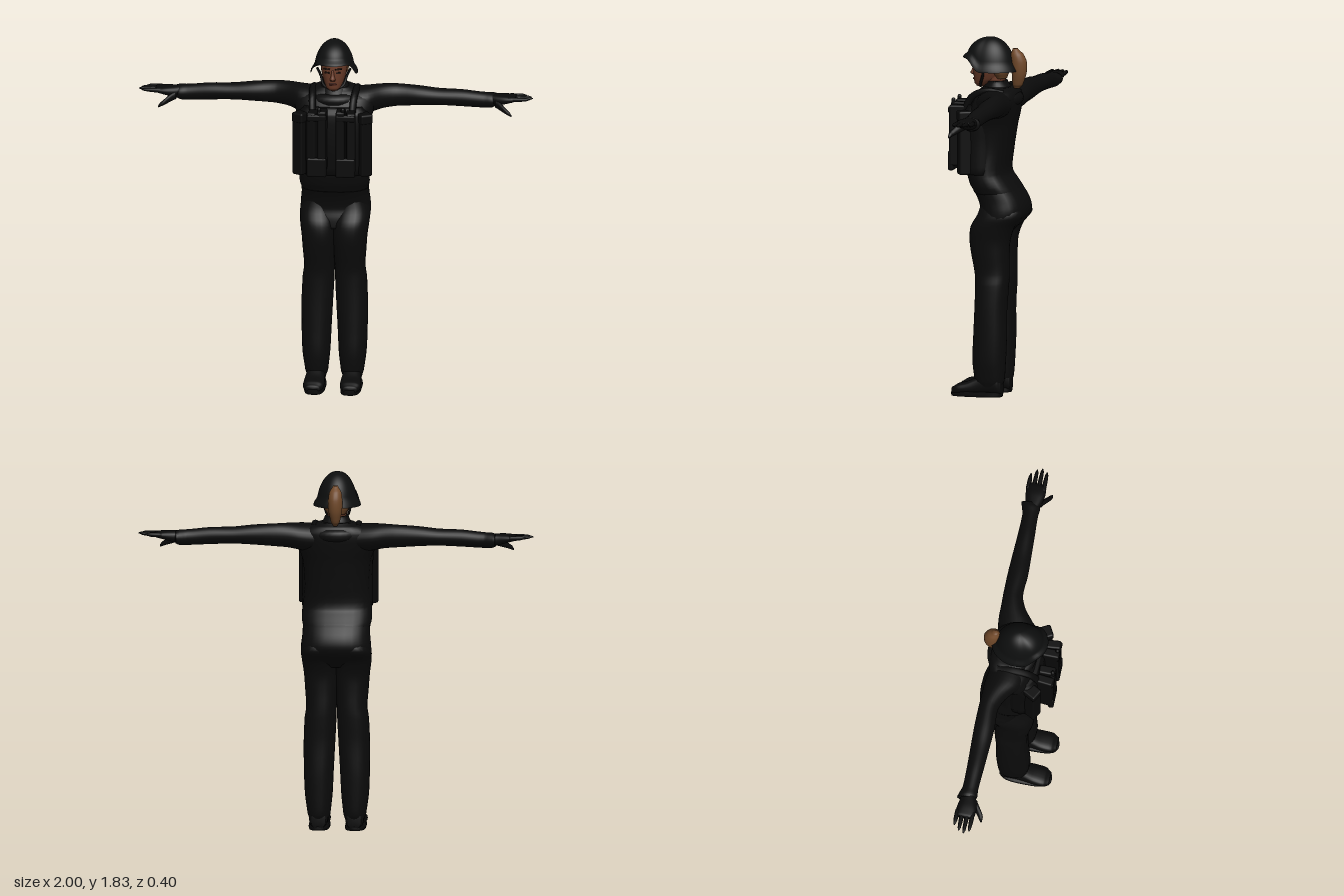
import * as THREE from 'three';
import { RoundedBoxGeometry } from 'three/addons/geometries/RoundedBoxGeometry.js';

const mat = (name, color) => new THREE.MeshStandardMaterial({ name, color, side: THREE.DoubleSide });

// Smooth skin through cross-sections [t, uMin, uMax, vMin, vMax] along an axis.
// Axis y reads (x, z), axis x reads (y, z), axis z reads (x, y). power > 2 gives squarer sections.
function loft(axis, secs, power = 2, seg = 28, sub = 4) {
  const rows = [];
  for (let i = 0; i < secs.length - 1; i++) {
    const [p0, p1, p2, p3] = [-1, 0, 1, 2].map(k => secs[Math.min(Math.max(i + k, 0), secs.length - 1)]);
    for (let k = 0; k < sub; k++) {
      const s = k / sub;
      rows.push(p1.map((b, j) => j === 0 ? b + (p2[0] - b) * s : 0.5 * (2 * b + (p2[j] - p0[j]) * s
        + (2 * p0[j] - 5 * b + 4 * p2[j] - p3[j]) * s * s + (3 * b - p0[j] - 3 * p2[j] + p3[j]) * s ** 3)));
    }
  }
  rows.push(secs[secs.length - 1]);
  const pos = [], idx = [];
  const put = (t, a, b) => pos.push(...(axis === 'y' ? [a, t, b] : axis === 'x' ? [t, a, b] : [a, b, t]));
  const soft = c => Math.sign(c) * Math.abs(c) ** (2 / power);
  for (const [t, a0, a1, b0, b1] of rows) {
    for (let j = 0; j < seg; j++) {
      const w = (j / seg) * Math.PI * 2;
      let c = soft(Math.cos(w)), d = soft(Math.sin(w));
      if (axis === 'y') [c, d] = [d, c];
      put(t, (a0 + a1) / 2 + c * (a1 - a0) / 2, (b0 + b1) / 2 + d * (b1 - b0) / 2);
    }
  }
  const n = rows.length, first = n * seg;
  for (const r of [rows[0], rows[n - 1]]) put(r[0], (r[1] + r[2]) / 2, (r[3] + r[4]) / 2);
  for (let j = 0; j < seg; j++) {
    const k = (j + 1) % seg, top = (n - 1) * seg;
    for (let i = 0; i < n - 1; i++) {
      const a = i * seg + j, b = i * seg + k;
      idx.push(a, b, b + seg, a, b + seg, a + seg);
    }
    idx.push(first, k, j, first + 1, top + j, top + k);
  }
  const g = new THREE.BufferGeometry();
  g.setAttribute('position', new THREE.Float32BufferAttribute(pos, 3));
  g.setIndex(idx);
  g.computeVertexNormals();
  return g;
}

// Mirror an indexed geometry across x, keeping faces outward
function mirrored(geo) {
  const g = geo.clone(), p = g.attributes.position, ix = g.index.array;
  for (let i = 0; i < p.count; i++) p.setX(i, -p.getX(i));
  for (let i = 0; i < ix.length; i += 3) [ix[i], ix[i + 1]] = [ix[i + 1], ix[i]];
  g.computeVertexNormals();
  return g;
}

export function createModel() {
  const root = new THREE.Group();
  root.name = 'uniformedFigure';
  const cloth = mat('blackCloth', 0x0b0b0b), gear = mat('blackGear', 0x090909);
  const shell = mat('helmetBlack', 0x0d0e0e), leather = mat('bootLeather', 0x0a0a0a);
  const skin = mat('skin', 0x6b3c29), hair = mat('hair', 0x70492a);
  const dark = mat('browBrown', 0x1f120d), lip = mat('lips', 0x5a2a22);

  const add = (name, geo, material, x = 0, y = 0, z = 0) => {
    const m = new THREE.Mesh(geo, material);
    m.name = name;
    m.position.set(x, y, z);
    root.add(m);
    return m;
  };
  const pair = (name, geo, material) => {
    add('left' + name, geo, material);
    add('right' + name, mirrored(geo), material);
  };

  // Jacket, trouser seat and rolled collar
  add('jacket', loft('y', [
    [1.04, -.17, .17, -.16, .08], [1.08, -.178, .178, -.135, .1], [1.14, -.175, .175, -.095, .115],
    [1.25, -.165, .165, -.105, .11], [1.38, -.175, .175, -.125, .12], [1.46, -.2, .2, -.14, .105],
    [1.52, -.2, .2, -.145, .075], [1.555, -.15, .15, -.135, .045], [1.575, -.09, .09, -.11, .03]], 2.4), cloth);
  add('trouserSeat', loft('y', [
    [.84, -.13, .13, -.11, .06], [.89, -.172, .172, -.165, .055], [.94, -.178, .178, -.195, .043],
    [1.0, -.172, .172, -.186, .058], [1.06, -.17, .17, -.15, .085], [1.1, -.165, .165, -.11, .09]], 2.4), cloth);
  add('collar', loft('y', [
    [1.5, -.1, .1, -.13, .08], [1.55, -.085, .085, -.12, .06], [1.585, -.068, .068, -.09, .03],
    [1.605, -.06, .06, -.08, .02]]), cloth);
  const roll = new THREE.TorusGeometry(.095, .032, 12, 32);
  roll.rotateX(Math.PI / 2).scale(1.15, 1, 1);
  add('collarRoll', roll, cloth, 0, 1.515, -.035);

  // Trouser legs
  pair('Leg', loft('y', [
    [.04, .045, .135, -.07, .04], [.08, .033, .148, -.088, .062], [.18, .022, .162, -.095, .074],
    [.3, .016, .167, -.1, .07], [.45, .008, .168, -.1, .064], [.57, .002, .163, -.108, .062],
    [.63, 0, .155, -.11, .066], [.72, -.005, .161, -.11, .082], [.8, -.01, .167, -.115, .092],
    [.87, -.01, .176, -.14, .084], [.93, 0, .177, -.185, .048], [1, .01, .15, -.16, .03]], 2.3), cloth);

  // Boots with flat soles
  pair('Boot', loft('z', [
    [-.078, .055, .125, .01, .09], [-.06, .045, .138, .01, .12], [0, .045, .138, .01, .125],
    [.05, .044, .14, .01, .1], [.1, .04, .145, .01, .075], [.15, .043, .145, .01, .062],
    [.178, .06, .13, .01, .045]], 2.6), leather);
  pair('Sole', loft('y', [
    [0, .04, .143, -.078, .183], [.012, .039, .146, -.08, .187], [.026, .042, .143, -.077, .184]], 3, 28, 1), gear);

  // Sleeves
  pair('Sleeve', loft('x', [
    [.08, 1.42, 1.565, -.13, .06], [.17, 1.43, 1.57, -.142, .04], [.24, 1.447, 1.572, -.143, -.015],
    [.31, 1.455, 1.57, -.145, -.045], [.42, 1.462, 1.563, -.145, -.042], [.52, 1.466, 1.552, -.142, -.046],
    [.64, 1.462, 1.548, -.138, -.052], [.75, 1.457, 1.537, -.138, -.058], [.79, 1.457, 1.535, -.15, -.055],
    [.81, 1.465, 1.53, -.155, -.06]]), cloth);

  // Gloves: palm, four fingers and thumb
  pair('Palm', loft('x', [
    [.78, 1.465, 1.53, -.135, -.065], [.82, 1.472, 1.53, -.138, -.052], [.86, 1.482, 1.53, -.144, -.044],
    [.9, 1.493, 1.526, -.146, -.046], [.915, 1.5, 1.522, -.14, -.055]], 2.4), gear);
  [[-.137, .965], [-.11, .99], [-.084, 1], [-.058, .985]].forEach(([z, tip], i) => {
    pair('Finger' + (i + 1), loft('x', [
      [.88, 1.499, 1.523, z - .011, z + .011], [.93, 1.501, 1.523, z - .011, z + .011],
      [tip - .015, 1.506, 1.521, z - .008, z + .008], [tip, 1.511, 1.516, z - .003, z + .003]], 2, 12), gear);
  });
  pair('Thumb', loft('x', [
    [.81, 1.465, 1.51, -.085, -.05], [.84, 1.455, 1.495, -.065, -.03], [.87, 1.444, 1.472, -.04, -.01],
    [.888, 1.437, 1.458, -.026, -.009], [.897, 1.434, 1.444, -.018, -.01]], 2, 14), gear);

  // Load vest: front panel, shoulder straps and pouches
  add('vestPanel', loft('y', [
    [1.14, -.18, .18, -.05, .125], [1.3, -.178, .178, -.05, .13], [1.45, -.18, .18, -.05, .125],
    [1.49, -.15, .15, -.03, .105]], 3, 32), gear);
  const pouch = (name, w, h, d, x, y, z, turn = 0) => {
    for (const s of [1, -1]) {
      add((s > 0 ? 'left' : 'right') + name, new RoundedBoxGeometry(w, h, d, 2, .01), gear, s * x, y, z).rotation.y = s * turn;
    }
  };
  pouch('MagazinePouch', .046, .32, .085, .047, 1.335, .155);
  pouch('OuterMagazinePouch', .046, .31, .085, .098, 1.33, .152, .1);
  pouch('SidePouch', .06, .32, .085, .158, 1.3, .092, .5);
  pouch('LowerPouch', .1, .1, .03, .073, 1.2, .185);
  pouch('PouchFlap', .1, .035, .03, .073, 1.46, .184);
  pouch('SidePouchFlap', .066, .05, .092, .158, 1.44, .092, .5);
  pouch('Radio', .02, .05, .02, .06, 1.49, .185);
  for (const s of [1, -1]) {
    const path = new THREE.CatmullRomCurve3([[.1, 1.45, .12], [.105, 1.53, .075], [.11, 1.56, 0], [.11, 1.55, -.09]]
      .map(([x, y, z]) => new THREE.Vector3(s * x, y, z)));
    add(s > 0 ? 'leftStrap' : 'rightStrap', new THREE.TubeGeometry(path, 16, .018, 8), gear);
  }

  // Neck, head and face
  add('neck', loft('y', [[1.53, -.05, .05, -.075, .03], [1.6, -.048, .048, -.07, .03], [1.66, -.05, .05, -.07, .04]]), skin);
  add('head', loft('y', [
    [1.573, -.022, .022, .035, .078], [1.585, -.036, .036, .005, .088], [1.61, -.05, .05, -.045, .092],
    [1.645, -.061, .061, -.072, .094], [1.69, -.068, .068, -.08, .094], [1.74, -.067, .067, -.08, .088],
    [1.79, -.04, .04, -.04, .05]], 2.2), skin);
  add('nose', loft('y', [
    [1.628, -.012, .012, .08, .098], [1.637, -.014, .014, .08, .112], [1.655, -.009, .009, .08, .104],
    [1.685, -.006, .006, .08, .096]], 2, 14), skin);
  add('mouth', new RoundedBoxGeometry(.036, .01, .008, 2, .003), lip, 0, 1.611, .09);
  for (const s of [1, -1]) {
    const side = s > 0 ? 'left' : 'right';
    add(side + 'Eye', new THREE.BoxGeometry(.024, .008, .008), dark, s * .028, 1.671, .088).rotation.y = s * .3;
    add(side + 'Brow', new THREE.BoxGeometry(.034, .007, .008), dark, s * .029, 1.69, .088).rotation.y = s * .3;
    // Chin strap
    const strap = new THREE.CatmullRomCurve3([[.085, 1.68, .03], [.066, 1.64, .03], [.05, 1.595, .045], [0, 1.57, .06]]
      .map(([x, y, z]) => new THREE.Vector3(s * x, y, z)));
    add(side + 'ChinStrap', new THREE.TubeGeometry(strap, 14, .007, 6), gear);
  }

  // Hair under the helmet and ponytail
  add('backHair', loft('y', [
    [1.615, -.045, .045, -.078, -.02], [1.645, -.064, .064, -.088, -.005], [1.69, -.073, .073, -.095, 0],
    [1.73, -.07, .07, -.09, 0]]), hair);
  add('ponytail', loft('y', [
    [1.565, -.01, .01, -.145, -.115], [1.585, -.022, .022, -.162, -.108], [1.64, -.034, .034, -.18, -.105],
    [1.7, -.036, .036, -.182, -.1], [1.74, -.03, .03, -.165, -.1], [1.77, -.012, .012, -.135, -.11]], 2, 20), hair);

  // Helmet: dome pulled down over ears and nape, flaring into a rim
  const dome = new THREE.SphereGeometry(1, 48, 24, 0, Math.PI * 2, 0, Math.PI / 2);
  const p = dome.attributes.position;
  for (let i = 0; i < p.count; i++) {
    const x = p.getX(i), y = p.getY(i), z = p.getZ(i), r = Math.hypot(x, z) || 1;
    const rim = 1.655 + .065 * THREE.MathUtils.smoothstep(z / r, .25, .8);
    const flare = 1 + .17 * THREE.MathUtils.smoothstep(1 - y, .72, 1);
    p.setXYZ(i, x * .103 * flare, rim + (1.825 - rim) * y, z * .124 * flare + .003);
  }
  dome.computeVertexNormals();
  add('helmet', dome, shell);
  return root;
}
